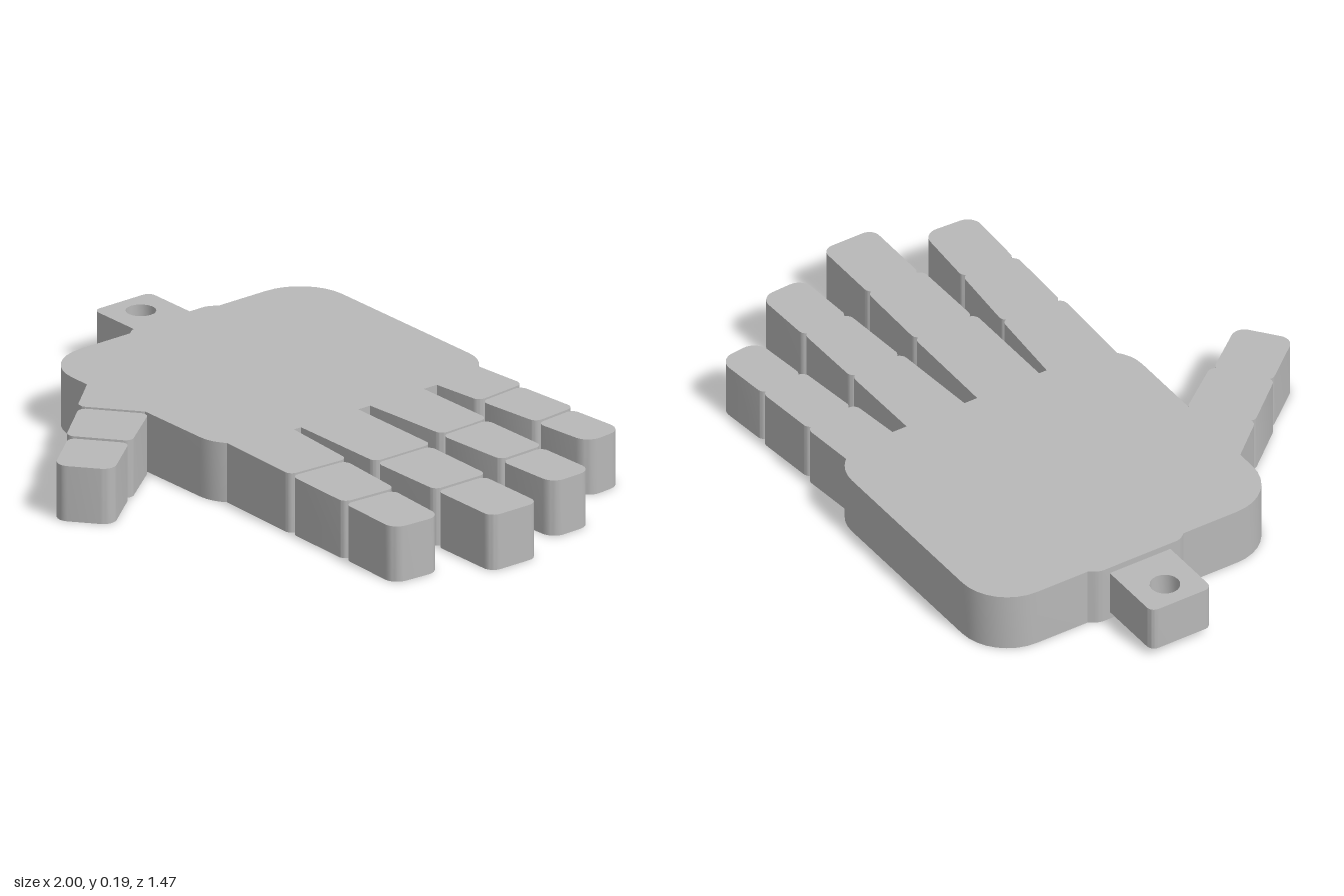
import * as THREE from 'three';
import { toCreasedNormals } from 'three/addons/utils/BufferGeometryUtils.js';

const grey = new THREE.MeshStandardMaterial({ color: 0xb8b8b8 });
grey.name = 'grey';

// Closed outline from [x, z, cornerRadius] points, each corner rounded
function roundedOutline(points) {
  const shape = new THREE.Shape();
  const v = points.map(([x, z]) => new THREE.Vector2(x, z));
  const n = v.length;
  const towards = (a, b, d) => a.clone().add(b.clone().sub(a).setLength(d));
  v.forEach((p, i) => {
    const r = points[i][2] || 0;
    if (r === 0) {
      i ? shape.lineTo(p.x, p.y) : shape.moveTo(p.x, p.y);
      return;
    }
    const before = v[(i + n - 1) % n], after = v[(i + 1) % n];
    const a = towards(p, before, r), b = towards(p, after, r);
    const c1 = a.clone().lerp(p, 0.552), c2 = b.clone().lerp(p, 0.552);
    i ? shape.lineTo(a.x, a.y) : shape.moveTo(a.x, a.y);
    shape.bezierCurveTo(c1.x, c1.y, c2.x, c2.y, b.x, b.y);
  });
  shape.closePath();
  return shape;
}

// Plan outline (x, z) raised from y = bottom to y = top
function slab(name, shape, bottom, top) {
  const geo = new THREE.ExtrudeGeometry(shape, { depth: top - bottom, bevelEnabled: false, curveSegments: 8 });
  geo.rotateX(Math.PI / 2).translate(0, top, 0);
  const mesh = new THREE.Mesh(toCreasedNormals(geo, 0.6), grey);
  mesh.name = name;
  return mesh;
}

// Finger of three stepped segments along a line in plan.
// joints: distances along the line; widths: [start, end] half-widths per segment
function finger(name, from, to, joints, widths, tipRadius) {
  const group = new THREE.Group();
  group.name = name;
  const heights = [0.19, 0.184, 0.177];
  const names = ['Base', 'Middle', 'Tip'];
  const origin = new THREE.Vector2(...from);
  const dir = new THREE.Vector2(...to).sub(origin).normalize();
  const at = (d, s, r) => [origin.x + dir.x * d - dir.y * s, origin.y + dir.y * d + dir.x * s, r];
  widths.forEach(([w0, w1], i) => {
    const r0 = i === 0 ? 0 : 0.025;
    const r1 = i === 2 ? tipRadius : 0.025;
    const outline = roundedOutline([
      at(joints[i], -w0, r0), at(joints[i + 1], -w1, r1),
      at(joints[i + 1], w1, r1), at(joints[i], w0, r0),
    ]);
    group.add(slab(name + names[i], outline, 0, heights[i]));
  });
  return group;
}

export function createModel() {
  const hand = new THREE.Group();
  hand.name = 'hand';

  // Palm
  hand.add(slab('palm', roundedOutline([
    [-0.755, -0.74, 0.16], [0.13, -0.74, 0.13], [0.13, 0.29, 0.13], [-0.755, 0.29, 0.16],
  ]), 0, 0.19));

  // Raised wrist pad
  hand.add(slab('wristPad', roundedOutline([
    [-0.7, -0.4], [-0.755, -0.4], [-0.775, -0.37, 0.015],
    [-0.775, -0.085, 0.015], [-0.755, -0.06], [-0.7, -0.06],
  ]), 0, 0.19));

  // Hanging tab with a round hole
  const tab = roundedOutline([
    [-1, -0.335, 0.025], [-0.76, -0.335], [-0.76, -0.12], [-1, -0.12, 0.025],
  ]);
  tab.holes.push(new THREE.Path().absarc(-0.91, -0.228, 0.046, 0, Math.PI * 2, true));
  hand.add(slab('hangingTab', tab, 0.025, 0.17));

  // Four fingers
  hand.add(finger('littleFinger', [0.09, -0.601], [0.73, -0.667], [0, 0.205, 0.43, 0.64],
    [[0.095, 0.092], [0.083, 0.08], [0.074, 0.072]], 0.05));
  hand.add(finger('ringFinger', [0.09, -0.356], [0.91, -0.392], [0, 0.34, 0.595, 0.82],
    [[0.104, 0.092], [0.09, 0.082], [0.08, 0.077]], 0.045));
  hand.add(finger('middleFinger', [0.09, -0.1], [1, -0.098], [0, 0.385, 0.655, 0.91],
    [[0.11, 0.108], [0.102, 0.098], [0.09, 0.09]], 0.035));
  hand.add(finger('indexFinger', [0.08, 0.145], [0.895, 0.19], [0, 0.32, 0.575, 0.816],
    [[0.112, 0.105], [0.1, 0.093], [0.089, 0.086]], 0.045));

  // Thumb
  hand.add(finger('thumb', [-0.487, 0.155], [-0.06, 0.685], [0, 0.25, 0.467, 0.681],
    [[0.12, 0.111], [0.106, 0.1], [0.092, 0.09]], 0.04));

  return hand;
}
